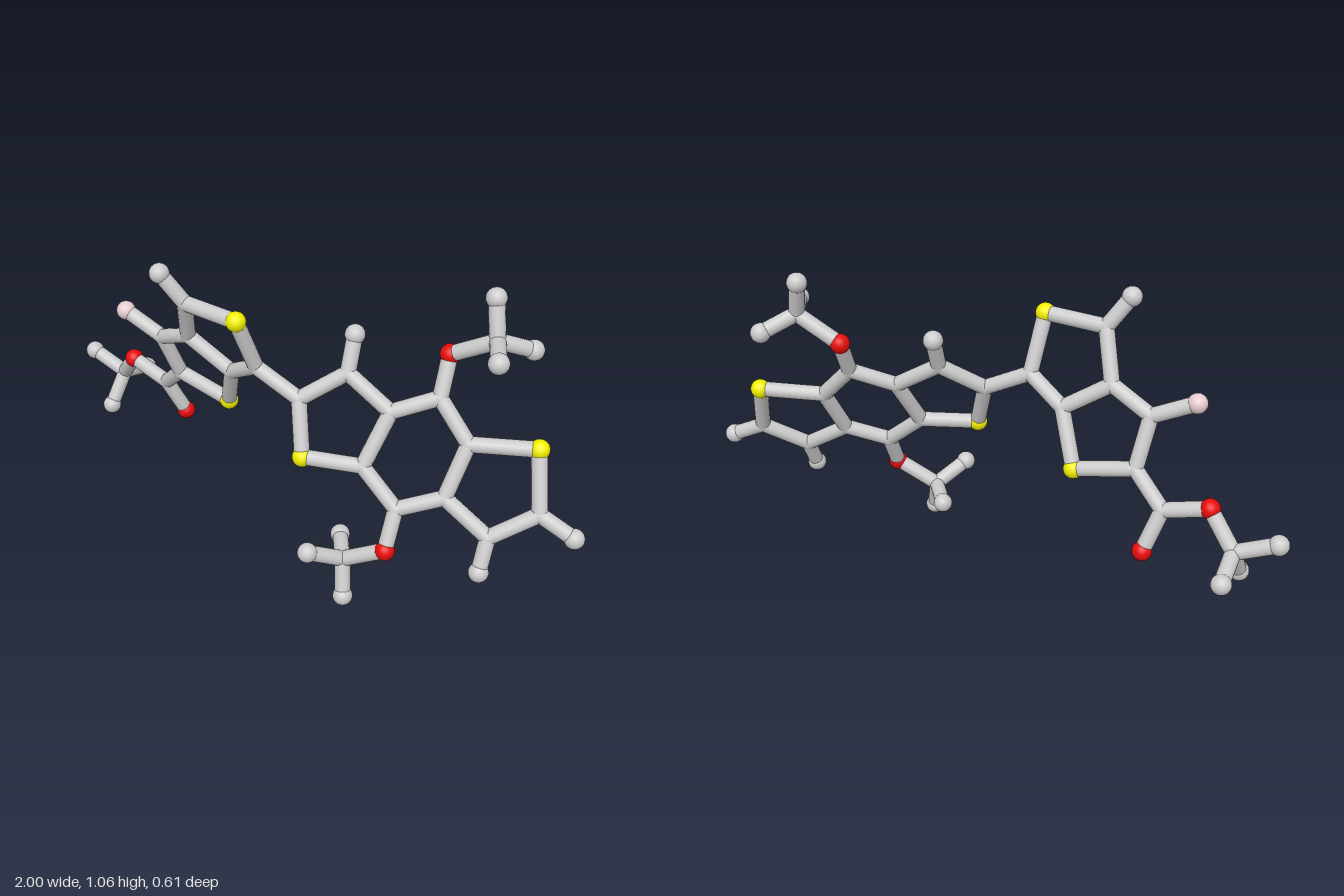
import * as THREE from 'three';

const STICK = 0.026, BALL = 0.033;
const COLORS = { grey: 0xcccccc, yellow: 0xf2ee00, red: 0xe80c0c, pink: 0xe8cdd2 };

// The two flat ring systems each lie in a tilted plane z(x, y)
const leftPlane = (x, y) => 0.15 + 0.111 * (x + 0.12) + 0.381 * (y - 0.905);
const rightPlane = (x, y) => 0.0065 - 0.289 * (x - 0.455) - 0.46 * (y - 0.533);
const L = (x, y) => [x, y, leftPlane(x, y)];
const R = (x, y) => [x, y, rightPlane(x, y)];

// Grey joints, where sticks meet
const joints = {
  // left double ring
  a: L(-0.33, 0.90), b: L(-0.375, 0.735), c: L(-0.22, 0.635), d: L(-0.095, 0.715),
  e: L(-0.49, 0.505), f: L(-0.515, 0.67), g: L(-0.595, 0.405), m1: [-0.835, 0.34, -0.15],
  // right triple ring
  h: R(0.06, 0.64), i: R(0.19, 0.735), j: R(0.345, 0.64), k: R(0.30, 0.47),
  l: R(0.48, 0.70), m: R(0.595, 0.58), n: R(0.565, 0.415), o: R(0.43, 0.36),
  p: R(0.85, 0.41), q: R(0.72, 0.32),
  m2: [0.62, 0.91, -0.147], m3: [0.29, 0.155, 0.178],
};

// Larger balls
const balls = {
  yellow: { s1: L(-0.12, 0.905), s2: L(-0.285, 0.46), s3: R(0.11, 0.47), s4: R(0.80, 0.595) },
  red: {
    o1: [-0.55, 0.27, -0.14], o2: [-0.745, 0.45, -0.103],
    o3: [0.475, 0.825, -0.14], o4: [0.43, 0.235, 0.157],
  },
  pink: { f1: L(-0.655, 0.735) },
  grey: {
    t1: [-0.40, 1.0, 0.155], t2: [0.185, 0.848, -0.06], t3: [0.965, 0.357, -0.06], t4: [0.72, 0.215, 0.078],
    t5: [-0.967, 0.395, -0.145], t6: [-0.85, 0.227, -0.077], t7: [-0.825, 0.302, -0.273],
    t8: [0.59, 1.033, -0.18], t9: [0.675, 0.912, -0.025], t10: [0.708, 0.864, -0.23],
    t11: [0.315, 0.037, 0.217], t12: [0.212, 0.214, 0.272], t13: [0.22, 0.152, 0.068],
  },
};

// Chains of points joined by sticks
const chains = {
  leftRings: ['a b c d s1 a', 'b f e s2 c'],
  rightRings: ['h i j k s3 h', 'j l m n o k', 'm s4 p q n'],
  link: ['d h'],
  sideArms: ['a t1', 'f f1', 'i t2', 'p t3', 'q t4'],
  leftBranch: ['e g o1', 'g o2 m1 t5', 't6 m1 t7'],
  upperBranch: ['l o3 m2 t8', 't9 m2 t10'],
  lowerBranch: ['o o4 m3 t11', 't12 m3 t13'],
};

export function createModel() {
  const model = new THREE.Group();
  model.name = 'ballAndStickModel';
  const mats = {};
  for (const key in COLORS) mats[key] = new THREE.MeshStandardMaterial({ color: COLORS[key] });
  const ballGeo = new THREE.SphereGeometry(BALL, 20, 14);
  const jointGeo = new THREE.SphereGeometry(STICK * 1.03, 16, 12);
  const stickGeo = new THREE.CylinderGeometry(STICK, STICK, 1, 16, 1, true);
  const up = new THREE.Vector3(0, 1, 0);
  const points = {};

  const addGroup = (name) => {
    const group = new THREE.Group();
    group.name = name;
    model.add(group);
    return group;
  };
  const addSpheres = (group, name, set, geo, mat) => {
    for (const key in set) {
      const mesh = new THREE.Mesh(geo, mat);
      mesh.name = name;
      mesh.position.fromArray(set[key]);
      points[key] = mesh.position;
      group.add(mesh);
    }
  };

  addSpheres(addGroup('joints'), 'joint', joints, jointGeo, mats.grey);
  for (const color in balls) {
    addSpheres(addGroup(color + 'Balls'), color + 'Ball', balls[color], ballGeo, mats[color]);
  }

  // Sticks
  for (const part in chains) {
    const group = addGroup(part);
    for (const chain of chains[part]) {
      const keys = chain.split(' ');
      for (let n = 1; n < keys.length; n++) {
        const from = points[keys[n - 1]], to = points[keys[n]];
        const span = to.clone().sub(from);
        const stick = new THREE.Mesh(stickGeo, mats.grey);
        stick.name = 'stick';
        stick.position.copy(from).addScaledVector(span, 0.5);
        stick.scale.y = span.length();
        stick.quaternion.setFromUnitVectors(up, span.normalize());
        group.add(stick);
      }
    }
  }
  return model;
}
